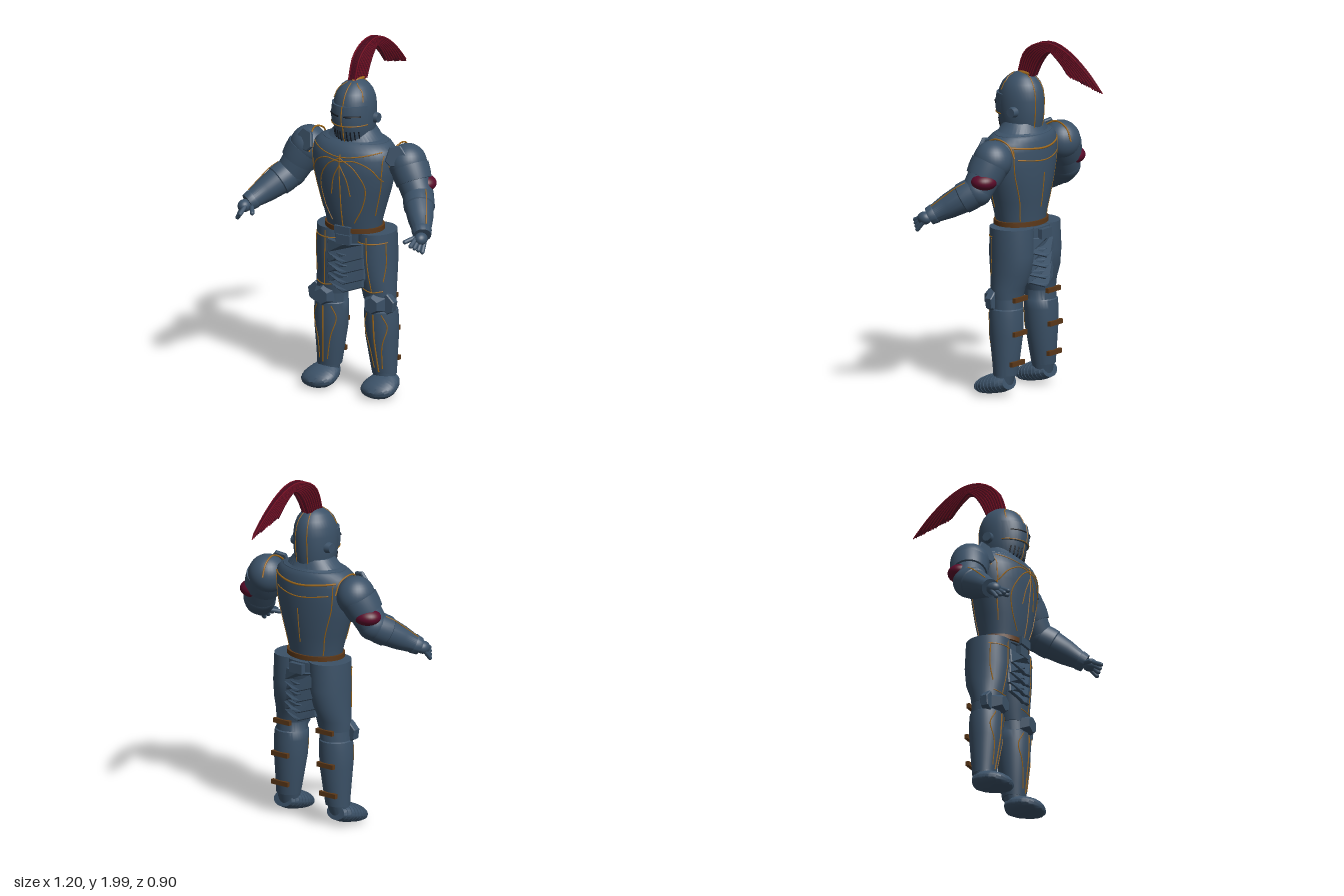
import * as THREE from 'three';
import { mergeGeometries, toCreasedNormals } from 'three/addons/utils/BufferGeometryUtils.js';
import { ParametricGeometry } from 'three/addons/geometries/ParametricGeometry.js';

const mat = (name, color) => Object.assign(new THREE.MeshStandardMaterial({ color }), { name });
const V = (x, y, z) => new THREE.Vector3(x, y, z);
const UP = V(0, 1, 0);

export function createModel() {
  const steel = mat('blue steel', 0x3b5167);
  const gold = mat('gold trim', 0xa06a1c);
  const leather = mat('leather', 0x5c3818);
  const crimson = mat('crimson cloth', 0x5a0b2a);
  const plumeDark = mat('plume dark red', 0x4c0a1e);
  const plumeBright = mat('plume red', 0x7a1024);
  const slit = mat('dark slit', 0x141a22);
  const model = new THREE.Group();

  const add = (name, geo, m = steel, x = 0, y = 0, z = 0) => {
    const mesh = new THREE.Mesh(geo, m);
    mesh.name = name;
    mesh.position.set(x, y, z);
    model.add(mesh);
    return mesh;
  };

  // Cross-section row: [y, half width, front z, back z, centre x]
  const onRow = ([y, w, f, b, c = 0], a) =>
    V(c + w * Math.sin(a), y, (f + b) / 2 + (f - b) / 2 * Math.cos(a));
  const loft = (rows, a0 = -Math.PI, a1 = Math.PI) => {
    const cap = ([y, , f, b, c]) => [y, 0, (f + b) / 2, (f + b) / 2, c];
    const all = [cap(rows[0]), ...rows, cap(rows[rows.length - 1])];
    const n = all.length - 1;
    const geo = new ParametricGeometry((u, v, t) => {
      t.copy(onRow(all[Math.round(v * n)], a0 + (a1 - a0) * u));
    }, 40, n);
    return toCreasedNormals(geo, 0.75);
  };
  const rowAt = (rows, y) => {
    let i = 0;
    while (i < rows.length - 2 && y > rows[i + 1][0]) i++;
    const p = rows[i], q = rows[i + 1], t = THREE.MathUtils.clamp((y - p[0]) / (q[0] - p[0]), 0, 1);
    return [0, 1, 2, 3, 4].map(k => (p[k] ?? 0) + ((q[k] ?? 0) - (p[k] ?? 0)) * t);
  };
  // Trim line through [x, y] points, laid on the front or back of a loft
  const trim = (name, rows, pts, back = false, m = gold, r = 0.0035) => {
    const flat = new THREE.CatmullRomCurve3(pts.map(([x, y]) => V(x, y, 0))).getPoints(20);
    const path = flat.map(p => {
      const row = rowAt(rows, p.y);
      const a = Math.asin(THREE.MathUtils.clamp((p.x - row[4]) / row[1], -1, 1));
      return onRow(row, back ? Math.PI - a : a);
    });
    return add(name, new THREE.TubeGeometry(new THREE.CatmullRomCurve3(path), 24, r, 5), m);
  };
  const bothTrims = (name, rows, pts, back, m, r) => [1, -1].forEach(s =>
    trim(name, rows, pts.map(([x, y]) => [s * x, y]), back, m, r));
  // Loft or capsule running from one point to another
  const along = (mesh, A, B) => {
    mesh.quaternion.setFromUnitVectors(UP, B.clone().sub(A).normalize());
    mesh.position.copy(A);
    return mesh;
  };
  const limb = (name, A, B, radii, m = steel) =>
    along(add(name, loft(radii.map(([y, r]) => [y, r, r, -r])), m), A, B);
  const finger = (name, A, B, r) => {
    const mesh = along(add(name, new THREE.CapsuleGeometry(r, A.distanceTo(B), 4, 10)), A, B);
    mesh.position.lerp(B, 0.5);
  };
  const ball = (name, p, r, m = steel) => {
    const mesh = add(name, new THREE.SphereGeometry(1, 32, 20), m, p.x, p.y, p.z);
    mesh.scale.set(...r);
    return mesh;
  };
  const plate = (pts, depth) => new THREE.ExtrudeGeometry(
    new THREE.Shape(pts.map(p => new THREE.Vector2(...p))),
    { depth, bevelEnabled: true, bevelSize: 0.005, bevelThickness: 0.005, bevelSegments: 1 });

  // Helmet with visor, eye slits and ear discs
  const helmet = [[1.455, .09, .205, 0], [1.5, .105, .235, -.012], [1.58, .115, .25, -.022], [1.66, .116, .25, -.025],
    [1.71, .11, .24, -.018], [1.75, .096, .22, -.002], [1.78, .074, .19, .022], [1.8, .046, .155, .05], [1.812, .015, .115, .085]];
  add('helmet', loft(helmet));
  const visor = [[1.575, .119, .26, -.02], [1.63, .122, .266, -.022], [1.69, .118, .256, -.02]];
  add('visor', loft(visor, -1.25, 1.25));
  bothTrims('eyeSlit', visor, [[.015, 1.635], [.06, 1.637], [.095, 1.635]], false, slit, .005);
  for (const x of [.02, .04, .06, .078]) bothTrims('breathSlit', helmet, [[x, 1.475], [x, 1.51], [x, 1.545]], false, slit, .004);
  trim('visorTrim', visor, [[-.113, 1.58], [0, 1.578], [.113, 1.58]]);
  trim('helmetCrest', helmet, [[0, 1.8], [0, 1.72], [0, 1.6], [0, 1.47]]);
  trim('visorRidge', visor, [[0, 1.69], [0, 1.63], [0, 1.58]]);
  bothTrims('crownTrim', helmet, [[.03, 1.8], [.075, 1.76], [.092, 1.71]]);
  bothTrims('helmetBackTrim', helmet, [[.02, 1.8], [.035, 1.74], [.04, 1.6], [.036, 1.48]], true);
  for (const s of [1, -1]) {
    const disc = add('earDisc', new THREE.CylinderGeometry(.026, .034, .04, 24), steel, s * .117, 1.6, .085);
    disc.rotation.z = -s * Math.PI / 2;
  }

  // Breastplate, backplate and gorget
  const torso = [[.95, .155, .235, -.01], [1.02, .167, .25, -.016], [1.1, .19, .265, -.03], [1.2, .22, .275, -.042],
    [1.3, .245, .285, -.05], [1.39, .25, .285, -.052], [1.44, .24, .268, -.046], [1.465, .215, .245, -.036], [1.485, .16, .22, -.02]];
  add('cuirass', loft(torso));
  add('gorget', loft([[1.455, .2, .235, -.035], [1.475, .195, .232, -.03], [1.48, .165, .225, -.022], [1.535, .118, .2, -.005]]));
  trim('breastCentreTrim', torso, [[0, .99], [0, 1.2], [0, 1.42]]);
  trim('collarTrim', torso, [[-.215, 1.44], [-.1, 1.415], [0, 1.405], [.1, 1.415], [.215, 1.44]]);
  bothTrims('breastArcTrim', torso, [[0, 1.4], [.08, 1.35], [.14, 1.24], [.12, 1.12], [.07, 1.02]]);
  bothTrims('breastRayTrim', torso, [[0, 1.38], [.09, 1.39], [.17, 1.35], [.22, 1.27]]);
  bothTrims('breastLowTrim', torso, [[0, 1.36], [.04, 1.28], [.06, 1.18]]);
  bothTrims('breastSideTrim', torso, [[.225, 1.42], [.21, 1.25], [.165, 1.06]]);
  bothTrims('backSideTrim', torso, [[.2, 1.41], [.19, 1.28], [.14, 1.1], [.12, .99]], true);
  trim('backCollarTrim', torso, [[-.21, 1.42], [0, 1.4], [.21, 1.42]], true, gold, .006);
  trim('backUpperTrim', torso, [[-.18, 1.35], [0, 1.33], [.18, 1.35]], true);
  trim('backCentreTrim', torso, [[0, 1.06], [0, 1.16], [0, 1.26]], true);

  // Belt, hips and the overlapping plates of the skirt
  add('belt', loft([[.958, .174, .25, -.024], [.984, .174, .25, -.024]]), leather);
  add('beltPlate', new THREE.BoxGeometry(.1, .045, .02), steel, 0, .972, .248);
  add('hips', loft([[.73, .13, .2, -.03], [.8, .19, .21, -.04], [.95, .2, .215, -.04]]));
  for (const back of [false, true]) {
    add(back ? 'rearClasp' : 'frontClasp', new THREE.BoxGeometry(.09, .055, .03), steel, 0, .915, back ? -.05 : .235);
    for (let i = 0; i < 4; i++) {
      const top = .895 - i * .062, w = [.108, .112, .116, .105][i], low = top - [.075, .075, .075, .06][i];
      const geo = plate([[-w, top], [-w, low], [-w * .3, low - .026], [0, low - .038], [w * .3, low - .026], [w, low], [w, top], [0, top - .01]], .012);
      const p = geo.attributes.position;
      for (let k = 0; k < p.count; k++) p.setZ(k, p.getZ(k) - 2.2 * p.getX(k) ** 2 + .08 * (top - p.getY(k)));
      geo.computeVertexNormals();
      const lame = add(back ? 'rearSkirtPlate' : 'frontSkirtPlate', geo, steel, 0, 0, (back ? -.04 : .232) - (back ? -1 : 1) * i * .003);
      if (back) lame.rotation.y = Math.PI;
    }
  }

  for (const s of [1, -1]) {
    const P = (x, y, z) => V(s * x, y, z);

    // Thigh, shin and their trims
    const thigh = [[.56, .15, .092, .182, .01, s * .15], [.62, .1, .19, 0, s * .143], [.7, .106, .205, -.035, s * .13],
      [.8, .115, .215, -.046, s * .124], [.955, .115, .215, -.04, s * .12]];
    thigh[0] = [.56, .092, .182, .01, s * .15];
    const shin = [[.13, .07, .155, .024, s * .175], [.2, .077, .165, .016, s * .17], [.35, .094, .185, .002, s * .162],
      [.45, .097, .19, 0, s * .16], [.5, .094, .19, .002, s * .157], [.505, .088, .182, .008, s * .155], [.57, .088, .182, .01, s * .152]];
    add('thighPlate', loft(thigh));
    add('greave', loft(shin));
    trim('thighTrim', thigh, [[s * .13, .94], [s * .135, .78], [s * .15, .62]]);
    trim('thighHemTrim', thigh, [[s * .03, .905], [s * .12, .9], [s * .225, .905]]);
    trim('thighOuterTrim', thigh, [[s * .22, .9], [s * .222, .78], [s * .21, .68]]);
    trim('shinTrim', shin, [[s * .16, .49], [s * .165, .32], [s * .178, .15]], false, gold, .005);
    for (const k of [-1, 1]) {
      trim('shinSideTrim', shin, [[s * .16 + k * .045, .49], [s * .162 + k * .07, .42], [s * .165 + k * .04, .3], [s * .175 + k * .025, .17]]);
    }
    // Leather straps at the back of the leg
    [[.56, .152, .006], [.37, .162, 0], [.2, .17, .012]].forEach(([y, x, z]) =>
      add('legStrap', new THREE.BoxGeometry(.115, .026, .02), leather, s * x, y, z));

    // Knee guard and its side wing
    const knee = add('kneeGuard', new THREE.CylinderGeometry(.045, .072, .06, 6).toNonIndexed(), steel, s * .16, .548, .185);
    knee.geometry.computeVertexNormals();
    knee.rotation.x = Math.PI / 2;
    const wing = [[.17, .6], [.17, .5], [.225, .495], [.262, .515], [.27, .565], [.228, .605], [.205, .59]].map(([x, y]) => [s * x, y]);
    add('kneeWing', plate(wing, .035), steel, 0, 0, .12);
    trim('kneeTrim', thigh, [[s * .09, .625], [s * .15, .615], [s * .21, .625]]);

    // Foot armour of overlapping lames
    const foot = [[0, .06, .05, -.03], [.05, .086, .06, -.05], [.12, .1, .056, -.05], [.165, .094, .049, -.042],
      [.195, .07, .034, -.03], [.212, .03, .014, -.012]];
    const lames = [];
    for (let i = 0; i < 10; i++) for (const [t, k] of [[i + .02, 1.03], [i + .98, .985]]) {
      const r = rowAt(foot, t * .0212);
      lames.push([t * .0212, r[1] * k, r[2], r[3] * k]);
    }
    along(add('footArmour', loft(lames)), P(.188, .1, .056), P(.191, .05, .25));
    add('ankle', loft([[.07, .06, .15, .05, s * .182], [.15, .068, .157, .03, s * .175]]));

    // Shoulder guard with lower lame and angular collar plate
    const S = P(.315, 1.365, .075), E = P(.405, 1.205, .115), W = P(.557, 1.06, .33);
    ball('shoulderGuard', S, [.106, .112, .11]);
    limb('shoulderLame', P(.33, 1.35, .08), E, [[0, .108], [.05, .106], [.09, .1]]);
    limb('upperArm', S, E, [[0, .09], [.1, .092], [.19, .086]]);
    const collar = add('shoulderCollar', plate([[-.05, -.03], [-.02, -.055], [.035, -.045], [.055, .02], [.02, .06], [-.035, .045]].map(([x, y]) => [s * x, y]), .012),
      steel, s * .285, 1.42, .155);
    collar.rotation.set(-.25, s * .25, 0);
    const rim = new THREE.CatmullRomCurve3([P(.255, 1.36, .175), P(.262, 1.44, .15), P(.275, 1.478, .08), P(.265, 1.45, 0), P(.26, 1.38, -.035)]);
    add('shoulderTrim', new THREE.TubeGeometry(rim, 24, .005, 5), gold);

    // Cloth at the elbow, elbow guard and forearm
    ball('elbowCloth', P(.404, 1.265, .066), [.08, .05, .072], crimson);
    ball('elbowGuard', E, [.087, .087, .087]);
    limb('forearm', E, W, [[0, .084], [.05, .087], [.09, .086], [.095, .08], [.18, .07], [.26, .053], [.265, .056], [.3, .05]]);
    const dir = W.clone().sub(E).normalize(), side = V(s * .45, .75, 0).addScaledVector(dir, -dir.dot(V(s * .45, .75, 0))).normalize();
    const seam = new THREE.CatmullRomCurve3([[.03, .086], [.09, .086], [.18, .07], [.26, .054]].map(([d, r]) =>
      E.clone().addScaledVector(dir, d).addScaledVector(side, r)));
    add('forearmTrim', new THREE.TubeGeometry(seam, 16, .0035, 5), gold);

    // Gauntlet
    ball('palm', P(.564, 1.048, .356), [.036, .036, .042]);
    for (let i = 0; i < 4; i++) {
      const t = i / 3;
      finger('finger', P(.545, 1.05, .385).lerp(P(.583, 1.03, .35), t), P(.545, 1.025, .435).lerp(P(.59, .985, .385), t), .0125);
    }
    finger('thumb', P(.527, 1.05, .34), P(.488, 1.03, .4), .0125);
  }

  // Plume: strands fanned between an upper and a lower arc of [z, y]
  const arc = pts => new THREE.CatmullRomCurve3(pts.map(([z, y]) => V(0, y, z)));
  const upper = arc([[.13, 1.795], [.085, 1.92], [0, 1.98], [-.1, 1.994], [-.21, 1.955], [-.34, 1.86], [-.445, 1.755]]);
  const lower = arc([[.02, 1.795], [-.015, 1.87], [-.06, 1.93], [-.095, 1.95], [-.13, 1.925], [-.17, 1.885], [-.22, 1.82]]);
  const dark = [], bright = [], rows = 16, cols = 5;
  for (let i = 0; i < rows; i++) for (let j = 0; j < cols; j++) {
    const f = i / (rows - 1), k = j / (cols - 1) * 2 - 1, reach = 1 - .05 * ((i * 7 + j * 3) % 5) / 4;
    const pts = [];
    for (let n = 0; n <= 14; n++) {
      const t = n / 14 * reach, p = upper.getPoint(t).lerp(lower.getPoint(t), f);
      p.x = k * .03 * Math.min(.65 + t, 1) * Math.pow(1 - t * .96, .7) - .012 * (1 - t) * (1 - f);
      pts.push(p);
    }
    ((i * 2 + j) % 4 ? dark : bright).push(new THREE.TubeGeometry(new THREE.CatmullRomCurve3(pts), 18, .0048, 4));
  }
  add('plume', mergeGeometries(dark), plumeDark);
  add('plumeHighlights', mergeGeometries(bright), plumeBright);
  ball('plumeHolder', V(0, 1.805, .075), [.025, .016, .06], gold);

  return model;
}
